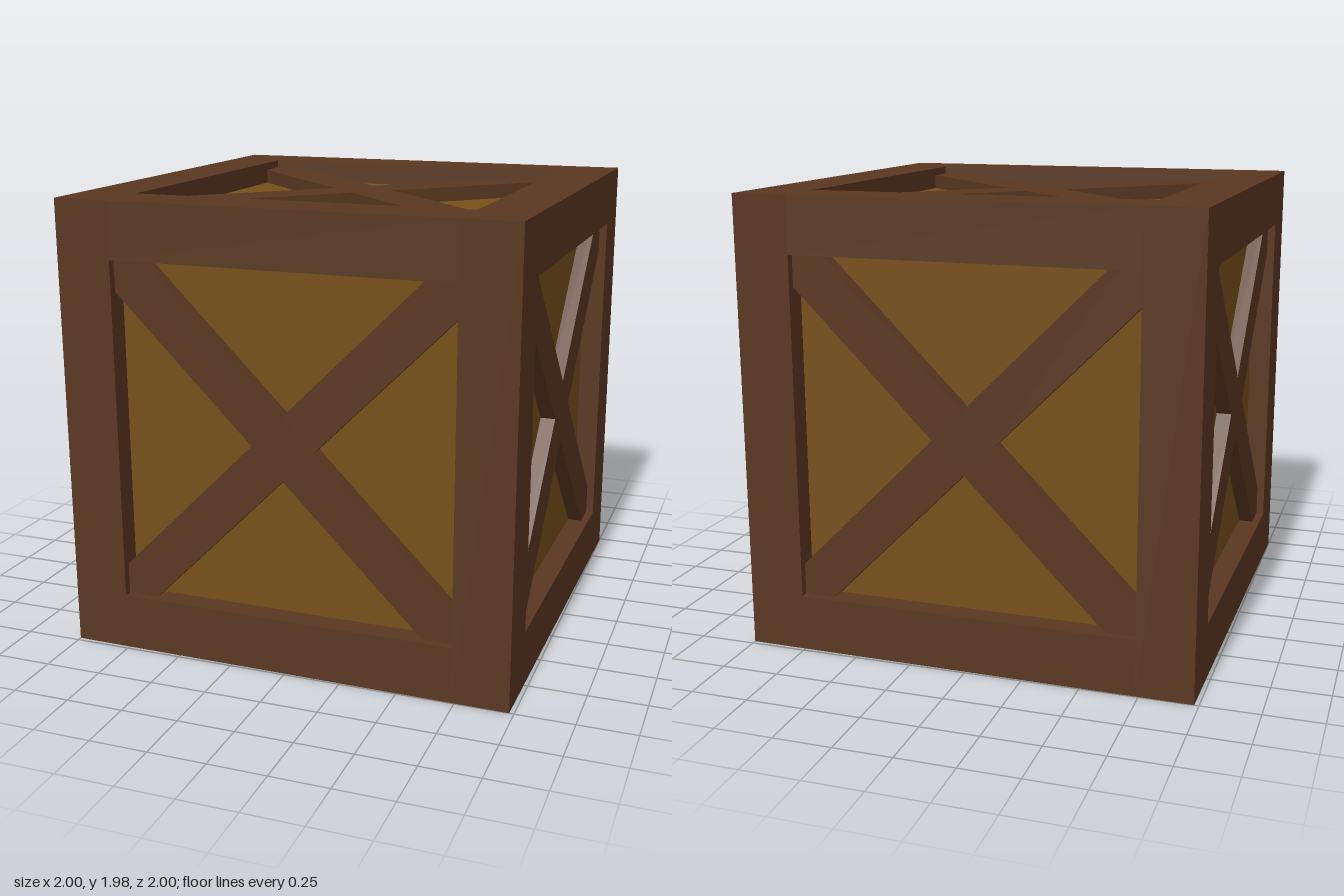
import * as THREE from 'three';

const SIZE = 1.98;          // outer edge of the crate
const BEAM = 0.245;         // frame beam thickness
const PANEL_DEPTH = 0.1;    // panels sit this far below the frame
const BRACE_DEPTH = 0.035;  // braces sit this far below the frame
const BRACE_WIDTH = 0.195;

const darkWood = new THREE.MeshStandardMaterial({ color: 0x5a3821, flatShading: true });
const lightWood = new THREE.MeshStandardMaterial({ color: 0x765018, flatShading: true });

function box(name, w, h, d, material, x = 0, y = 0, z = 0) {
  const mesh = new THREE.Mesh(new THREE.BoxGeometry(w, h, d), material);
  mesh.name = name;
  mesh.position.set(x, y, z);
  return mesh;
}

// X-shaped brace as one outline, its arms running into the frame corners
function crossGeometry() {
  const w = BRACE_WIDTH / 2, l = 1.15;
  const shape = new THREE.Shape([
    [w, w], [l, w], [l, -w], [w, -w], [w, -l], [-w, -l],
    [-w, -w], [-l, -w], [-l, w], [-w, w], [-w, l], [w, l],
  ].map(([x, y]) => new THREE.Vector2(x, y)).reverse());
  const depth = PANEL_DEPTH - BRACE_DEPTH;
  return new THREE.ExtrudeGeometry(shape, { depth, bevelEnabled: false })
    .rotateZ(Math.PI / 4)
    .translate(0, 0, SIZE / 2 - PANEL_DEPTH);
}

export function createModel() {
  const crate = new THREE.Group();
  crate.name = 'crate';
  crate.position.y = SIZE / 2;
  crate.rotation.y = -0.01;

  // Inner box whose faces are the six panels
  const inner = SIZE - 2 * PANEL_DEPTH;
  crate.add(box('panels', inner, inner, inner, lightWood));

  // Frame: four full-height posts with rails fitted between them
  const c = (SIZE - BEAM) / 2;
  const span = SIZE - 2 * BEAM;
  const frame = new THREE.Group();
  frame.name = 'frame';
  for (const a of [-1, 1]) {
    for (const b of [-1, 1]) {
      frame.add(box('cornerPost', BEAM, SIZE, BEAM, darkWood, a * c, 0, b * c));
      frame.add(box('crossRail', span, BEAM, BEAM, darkWood, 0, a * c, b * c));
      frame.add(box('sideRail', BEAM, BEAM, span, darkWood, a * c, b * c, 0));
    }
  }
  crate.add(frame);

  // One cross brace per face
  const geometry = crossGeometry();
  const q = Math.PI / 2;
  const faces = {
    front: [0, 0], left: [0, q], back: [0, 2 * q],
    right: [0, -q], top: [-q, 0], bottom: [q, 0],
  };
  for (const [side, [rx, ry]] of Object.entries(faces)) {
    const brace = new THREE.Mesh(geometry, darkWood);
    brace.name = side + 'CrossBrace';
    brace.rotation.set(rx, ry, 0);
    crate.add(brace);
  }

  const model = new THREE.Group();
  model.add(crate);
  return model;
}
